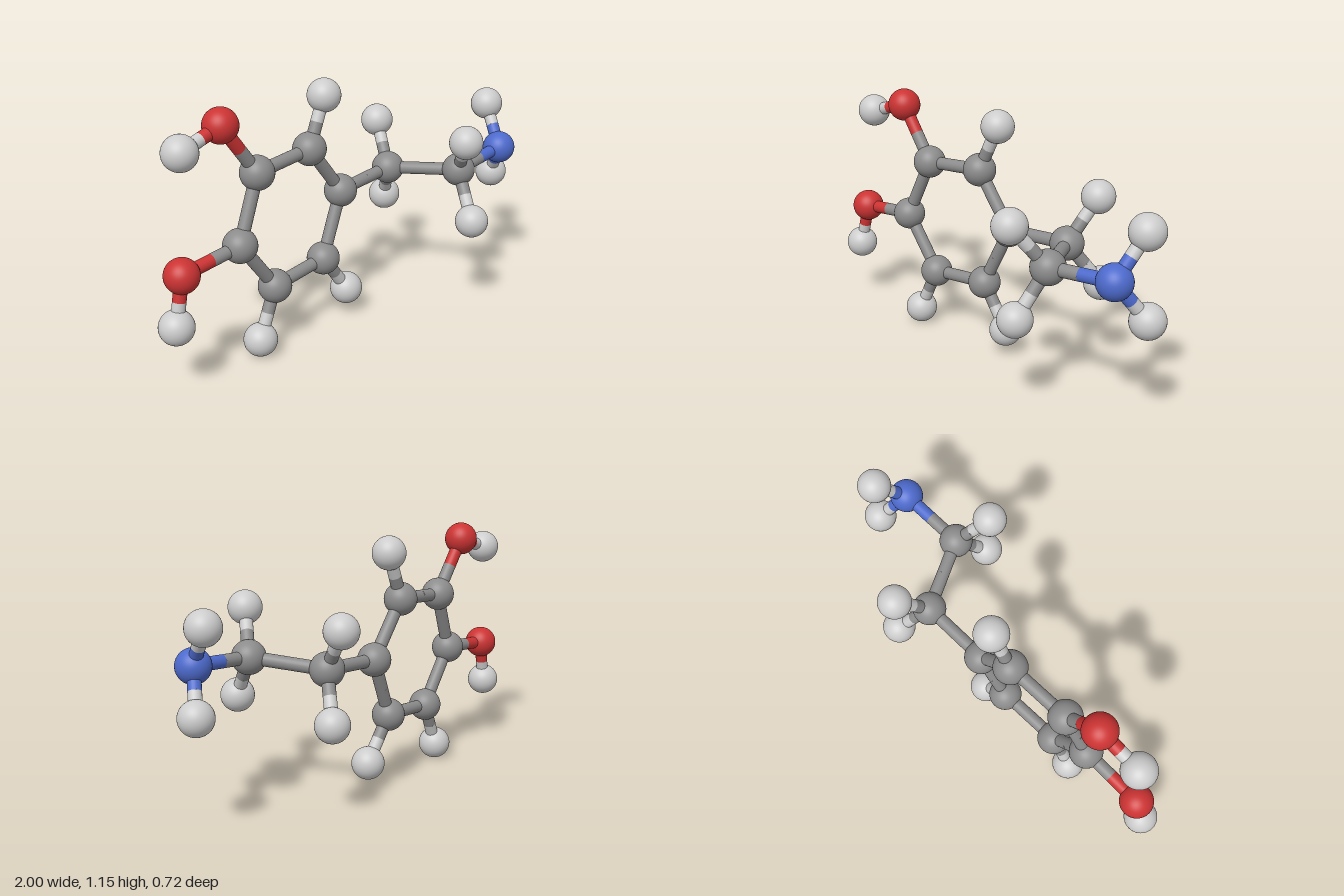
import * as THREE from 'three';

const ATOM_RADIUS = 0.0755;
const BOND_RADIUS = 0.029;

// Atom centres: element, x, y, z
const ATOMS = {
  ringUpperLeft: ['C', -0.46, 0.84, 0.0],
  ringLeft: ['C', -0.58, 0.555, 0.043],
  ringLowerLeft: ['C', -0.4, 0.303, 0.016],
  ringLowerRight: ['C', -0.102, 0.33, -0.043],
  ringRight: ['C', 0.026, 0.62, -0.085],
  ringUpperRight: ['C', -0.157, 0.865, -0.06],
  upperOxygen: ['O', -0.631, 1.084, 0.018],
  upperOxygenHydrogen: ['H', -0.835, 1.022, 0.058],
  lowerOxygen: ['O', -0.878, 0.523, 0.091],
  lowerOxygenHydrogen: ['H', -0.925, 0.313, 0.11],
  ringHydrogenTop: ['H', -0.06, 1.084, -0.086],
  ringHydrogenRight: ['H', 0.037, 0.132, -0.057],
  ringHydrogenLeft: ['H', -0.498, 0.08, 0.043],
  chainInner: ['C', 0.344, 0.645, -0.142],
  chainInnerHydrogenTop: ['H', 0.384, 0.838, -0.282],
  chainInnerHydrogenBottom: ['H', 0.427, 0.45, -0.272],
  chainOuter: ['C', 0.537, 0.677, 0.142],
  chainOuterHydrogenTop: ['H', 0.454, 0.861, 0.275],
  chainOuterHydrogenBottom: ['H', 0.502, 0.474, 0.284],
  nitrogen: ['N', 0.848, 0.706, 0.083],
  nitrogenHydrogenTop: ['H', 0.88, 0.888, -0.05],
  nitrogenHydrogenBottom: ['H', 0.921, 0.531, -0.036],
};

// Bonded pairs
const BONDS = [
  ['ringUpperLeft', 'ringLeft'], ['ringLeft', 'ringLowerLeft'],
  ['ringLowerLeft', 'ringLowerRight'], ['ringLowerRight', 'ringRight'],
  ['ringRight', 'ringUpperRight'], ['ringUpperRight', 'ringUpperLeft'],
  ['ringUpperLeft', 'upperOxygen'], ['upperOxygen', 'upperOxygenHydrogen'],
  ['ringLeft', 'lowerOxygen'], ['lowerOxygen', 'lowerOxygenHydrogen'],
  ['ringUpperRight', 'ringHydrogenTop'], ['ringLowerRight', 'ringHydrogenRight'],
  ['ringLowerLeft', 'ringHydrogenLeft'], ['ringRight', 'chainInner'],
  ['chainInner', 'chainInnerHydrogenTop'], ['chainInner', 'chainInnerHydrogenBottom'],
  ['chainInner', 'chainOuter'],
  ['chainOuter', 'chainOuterHydrogenTop'], ['chainOuter', 'chainOuterHydrogenBottom'],
  ['chainOuter', 'nitrogen'],
  ['nitrogen', 'nitrogenHydrogenTop'], ['nitrogen', 'nitrogenHydrogenBottom'],
];

function makeMaterial(name, color) {
  const material = new THREE.MeshStandardMaterial({ color });
  material.name = name;
  return material;
}

export function createModel() {
  const group = new THREE.Group();
  group.name = 'molecule';

  const materials = {
    C: makeMaterial('carbon grey', 0x8c8c8c),
    H: makeMaterial('hydrogen white', 0xcccccc),
    O: makeMaterial('oxygen red', 0xcc3333),
    N: makeMaterial('nitrogen blue', 0x4d6acc),
  };
  const position = (name) => new THREE.Vector3(...ATOMS[name].slice(1));

  // Atoms
  const sphere = new THREE.SphereGeometry(ATOM_RADIUS, 40, 28);
  for (const name in ATOMS) {
    const atom = new THREE.Mesh(sphere, materials[ATOMS[name][0]]);
    atom.name = name;
    atom.position.copy(position(name));
    group.add(atom);
  }

  // Bonds: each half takes the colour of its own atom
  const up = new THREE.Vector3(0, 1, 0);
  function addHalfBond(from, to) {
    const start = position(from);
    const half = position(to).sub(start).multiplyScalar(0.5);
    const length = half.length();
    const rod = new THREE.CylinderGeometry(BOND_RADIUS, BOND_RADIUS, length, 24, 1, true);
    const mesh = new THREE.Mesh(rod, materials[ATOMS[from][0]]);
    mesh.name = `${from}Bond`;
    mesh.position.copy(start).addScaledVector(half, 0.5);
    mesh.quaternion.setFromUnitVectors(up, half.normalize());
    group.add(mesh);
  }
  for (const [a, b] of BONDS) {
    addHalfBond(a, b);
    addHalfBond(b, a);
  }

  return group;
}
